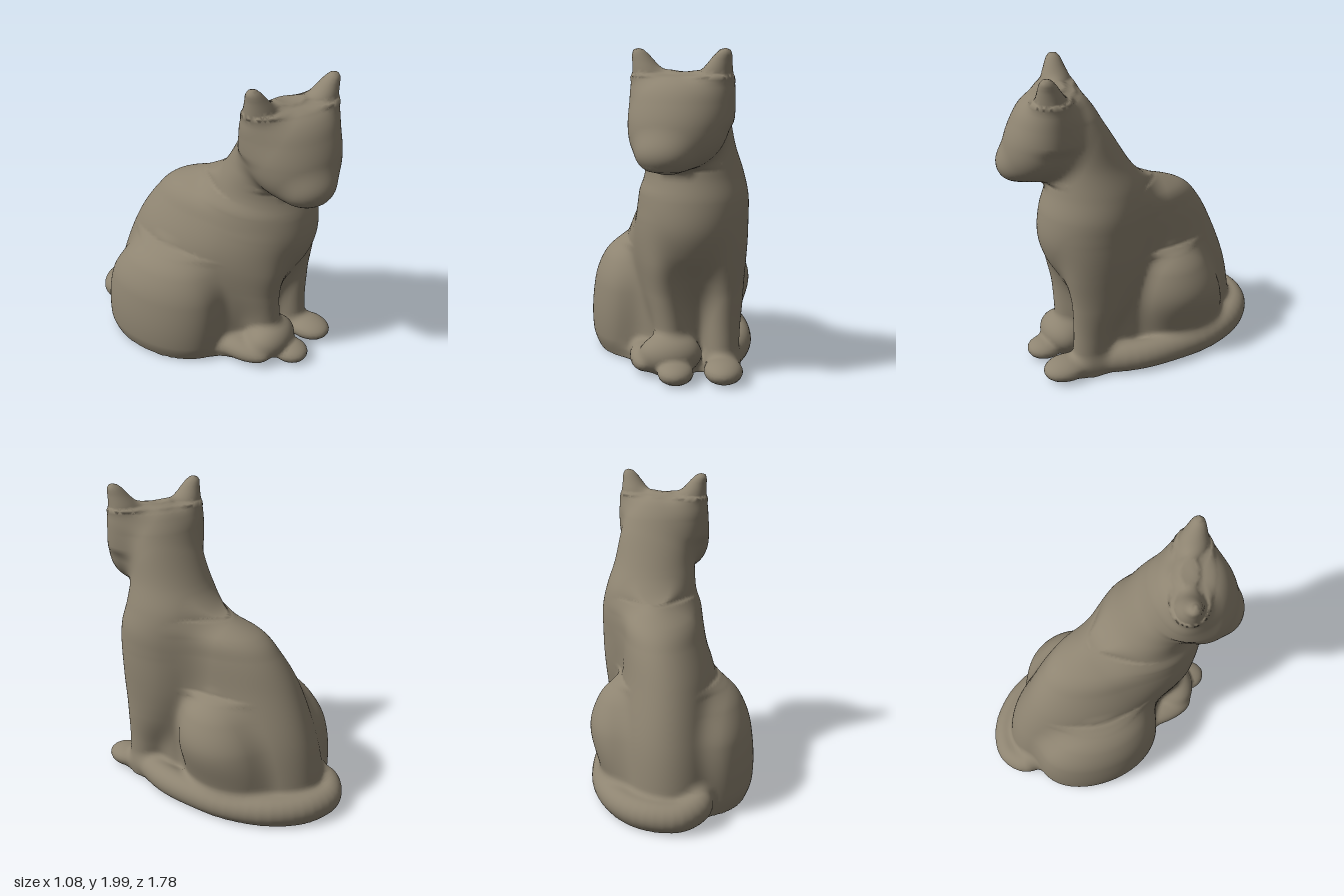
import * as THREE from 'three';

const stone = new THREE.MeshStandardMaterial({ color: 0x8e8471 });
stone.name = 'warm grey stone';

// Each part is a distance function of (x, y, z), negative inside.
const ovalDistance = (p, r) => {
  const q = Math.hypot(...p.map((v, i) => v / r[i]));
  return (q * (q - 1)) / Math.hypot(...p.map((v, i) => v / r[i] ** 2)) || -Math.min(...r);
};

const ellipsoid = (c, r) => (x, y, z) => ovalDistance([x - c[0], y - c[1], z - c[2]], r);

// Smooth stack of horizontal ovals: [y, centre x, back z, front z, half width]
function loft(...rows) {
  const last = rows.length - 1;
  const slope = (i, n) => {
    const a = rows[Math.max(i - 1, 0)];
    const b = rows[Math.min(i + 1, last)];
    return (b[n] - a[n]) / (b[0] - a[0]);
  };
  const cache = new Map();
  const section = (level) => {
    const y = Math.min(Math.max(level, rows[0][0]), rows[last][0]);
    if (cache.has(y)) return cache.get(y);
    let i = 0;
    while (i < last - 1 && y > rows[i + 1][0]) i++;
    const h = rows[i + 1][0] - rows[i][0];
    const t = (y - rows[i][0]) / h;
    const s = t * t * (3 - 2 * t);
    const [cx, z0, z1, w] = [1, 2, 3, 4].map((n) => rows[i][n] * (1 - s) + rows[i + 1][n] * s
      + h * t * (1 - t) * ((1 - t) * slope(i, n) - t * slope(i + 1, n)));
    const result = { cx, cz: (z0 + z1) / 2, r: [w, (z1 - z0) / 2] };
    cache.set(y, result);
    return result;
  };
  const flat = (x, y, z) => {
    const { cx, cz, r } = section(y);
    return ovalDistance([x - cx, z - cz], r);
  };
  return (x, y, z) => {
    const d = flat(x, y, z);
    const side = d / Math.hypot(1, (flat(x, y + 0.01, z) - d) / 0.01);
    const end = Math.max(rows[0][0] - y, y - rows[last][0]);
    return side > 0 && end > 0 ? Math.hypot(side, end) : Math.max(side, end);
  };
}

// Round tube along a smooth path
function tube(radius, ...points) {
  const path = new THREE.CatmullRomCurve3(points.map((p) => new THREE.Vector3(...p))).getPoints(32);
  return (x, y, z) => {
    let best = Infinity;
    for (let i = 0; i < path.length - 1; i++) {
      const a = path[i];
      const [ux, uy, uz] = [path[i + 1].x - a.x, path[i + 1].y - a.y, path[i + 1].z - a.z];
      const [vx, vy, vz] = [x - a.x, y - a.y, z - a.z];
      const along = (ux * vx + uy * vy + uz * vz) / (ux * ux + uy * uy + uz * uz);
      const t = Math.min(Math.max(along, 0), 1);
      best = Math.min(best, Math.hypot(vx - t * ux, vy - t * uy, vz - t * uz));
    }
    return best - radius;
  };
}

// The head is turned a little to its right
const [sin, cos] = [Math.sin(-0.45), Math.cos(-0.45)];
const turned = (part) => (x, y, z) =>
  part(cos * (x - 0.08) - sin * (z - 0.52), y, sin * (x - 0.08) + cos * (z - 0.52));

// Softness is how gently a part joins those before it
const parts = [];
const add = (name, softness, shape) => parts.push({ name, softness, shape });

// Arched back, chest rising into the neck, and the flat base
add('torso', 0.01, loft([-0.05, 0, -0.7, 0.36, 0.36], [0.08, 0, -0.74, 0.38, 0.37],
  [0.25, 0, -0.735, 0.38, 0.36], [0.5, 0.01, -0.68, 0.4, 0.34], [0.8, 0.02, -0.56, 0.46, 0.3],
  [1, 0.055, -0.44, 0.48, 0.26], [1.12, 0.08, -0.32, 0.45, 0.22], [1.22, 0.11, -0.08, 0.3, 0.1]));
add('chestAndNeck', 0.14, loft([-0.05, 0.15, 0.08, 0.4, 0.2], [0.3, 0.15, 0.08, 0.42, 0.2],
  [0.6, 0.14, 0.02, 0.56, 0.27], [0.78, 0.14, 0, 0.66, 0.315], [0.93, 0.14, -0.01, 0.7, 0.335],
  [1.1, 0.145, 0, 0.685, 0.335], [1.25, 0.145, 0.03, 0.64, 0.305], [1.4, 0.125, 0.125, 0.62, 0.275],
  [1.7, 0.09, 0.31, 0.61, 0.22], [1.83, 0.08, 0.45, 0.55, 0.06]));
add('base', 0.04, loft([-0.05, 0.05, -0.8, 0.5, 0.4], [0.06, 0.05, -0.8, 0.5, 0.4]));

// Folded hind legs
add('rightHaunch', 0.08, loft([-0.05, -0.24, -0.58, 0.2, 0.23], [0.12, -0.265, -0.62, 0.25, 0.27],
  [0.45, -0.26, -0.59, 0.25, 0.26], [0.63, -0.24, -0.48, 0.19, 0.215],
  [0.73, -0.22, -0.35, 0.09, 0.14], [0.78, -0.2, -0.22, -0.05, 0.05]));
add('leftHaunch', 0.07, loft([-0.05, 0.2, -0.5, 0.1, 0.22], [0.2, 0.24, -0.54, 0.11, 0.23],
  [0.45, 0.27, -0.49, 0.12, 0.26], [0.63, 0.26, -0.39, 0.09, 0.215],
  [0.73, 0.24, -0.29, 0.02, 0.14], [0.77, 0.22, -0.2, -0.06, 0.06]));
add('rightHindFoot', 0.04, ellipsoid([-0.16, 0.085, 0.36], [0.1, 0.08, 0.24]));

// Front legs and paws
add('leftFrontLeg', 0.1, loft([-0.05, 0.32, 0.36, 0.59, 0.1], [0.28, 0.325, 0.31, 0.57, 0.105],
  [0.5, 0.33, 0.22, 0.575, 0.12], [0.72, 0.325, 0.16, 0.59, 0.125],
  [0.95, 0.3, 0.18, 0.54, 0.11], [1.08, 0.27, 0.25, 0.48, 0.06]));
add('rightFrontLeg', 0.1, loft([-0.05, 0.02, 0.34, 0.59, 0.1], [0.28, 0.005, 0.3, 0.57, 0.105],
  [0.5, -0.025, 0.22, 0.57, 0.118], [0.72, -0.045, 0.16, 0.59, 0.12],
  [0.95, -0.02, 0.18, 0.54, 0.11], [1.08, 0.01, 0.25, 0.48, 0.06]));
add('rightAnkle', 0.04, ellipsoid([0, 0.14, 0.52], [0.19, 0.13, 0.145]));
add('leftFrontPaw', 0.05, ellipsoid([0.32, 0.07, 0.63], [0.12, 0.073, 0.152]));
add('rightFrontPaw', 0.03, ellipsoid([0.03, 0.065, 0.66], [0.11, 0.067, 0.122]));

// Tail curled round the left side
add('tail', 0.05, tube(0.092, [-0.1, 0.16, -0.6], [-0.17, 0.13, -0.69], [-0.06, 0.095, -0.785],
  [0.12, 0.09, -0.755], [0.3, 0.088, -0.6], [0.41, 0.088, -0.36], [0.445, 0.088, -0.05],
  [0.425, 0.085, 0.18], [0.33, 0.08, 0.46]));

// Head with muzzle and broad pointed ears
add('skull', 0.08, turned(loft([1.3, 0, 0.06, 0.25, 0.08], [1.34, 0, -0.04, 0.33, 0.18],
  [1.43, 0, -0.14, 0.36, 0.265], [1.56, 0, -0.19, 0.345, 0.305], [1.68, 0, -0.19, 0.3, 0.3],
  [1.78, 0, -0.15, 0.24, 0.265], [1.835, 0, -0.09, 0.16, 0.19], [1.855, 0, -0.03, 0.07, 0.08])));
add('muzzle', 0.09, turned(ellipsoid([0, 1.4, 0.285], [0.14, 0.09, 0.105])));
for (const side of [1, -1]) {
  add(side > 0 ? 'leftEar' : 'rightEar', 0.1, turned(loft(
    [1.6, side * 0.18, -0.08, 0.12, 0.11], [1.75, side * 0.19, -0.08, 0.13, 0.125],
    [1.85, side * 0.215, -0.06, 0.125, 0.1], [1.93, side * 0.25, -0.02, 0.105, 0.066],
    [1.975, side * 0.272, 0.005, 0.09, 0.046], [2, side * 0.28, 0.03, 0.07, 0.022])));
}

// Soft union of all parts, cut flat underneath
function field(x, y, z) {
  let d = 10;
  for (const { shape, softness } of parts) {
    const e = shape(x, y, z);
    const h = Math.max(softness - Math.abs(d - e), 0) / softness;
    d = Math.min(d, e) - (h * h * softness) / 4;
  }
  return Math.max(d, 0.005 - y);
}

export function createModel() {
  const cell = 0.02;
  const start = [-0.62, -0.03, -0.96];
  const size = [63, 106, 97];
  const step = [1, size[0] * size[2], size[0]];
  const value = new Float32Array(size[0] * size[1] * size[2]);
  const visit = (from, act) => {
    for (let j = from; j < size[1] - from; j++)
      for (let k = from; k < size[2] - from; k++)
        for (let i = from; i < size[0] - from; i++) act([i, j, k], i + j * step[1] + k * step[2]);
  };
  visit(0, (g, p) => { value[p] = field(...g.map((n, a) => start[a] + n * cell)); });

  // One skin point in every grid cell the surface crosses
  const position = [];
  const normal = [];
  const pointOf = new Map();
  visit(1, (g, p) => {
    const sum = [0, 0, 0];
    let count = 0;
    for (let a = 0; a < 3; a++) for (let n = 0; n < 4; n++) {
      const [b, c, u, v] = [(a + 1) % 3, (a + 2) % 3, n & 1, n >> 1];
      const v0 = value[p + u * step[b] + v * step[c]];
      const v1 = value[p + u * step[b] + v * step[c] + step[a]];
      if (v0 < 0 === v1 < 0) continue;
      sum[a] += v0 / (v0 - v1);
      sum[b] += u;
      sum[c] += v;
      count++;
    }
    if (!count) return;
    const [x, y, z] = g.map((n, a) => start[a] + (n + sum[a] / count) * cell);
    const e = 0.008;
    pointOf.set(p, position.length / 3);
    position.push(x, y, z);
    normal.push(...new THREE.Vector3(field(x + e, y, z) - field(x - e, y, z),
      field(x, y + e, z) - field(x, y - e, z), field(x, y, z + e) - field(x, y, z - e)).normalize());
  });

  // Join the points, giving every face to the part it lies on
  const faces = parts.map(() => []);
  visit(1, (g, p) => {
    for (let a = 0; a < 3; a++) {
      const inside = value[p] < 0;
      if (inside === value[p + step[a]] < 0) continue;
      const [sb, sc] = [step[(a + 1) % 3], step[(a + 2) % 3]];
      const q = [p, p - sb, p - sb - sc, p - sc].map((n) => pointOf.get(n));
      if (!inside) q.reverse();
      const distances = parts.map(({ shape }) => shape(...position.slice(q[0] * 3, q[0] * 3 + 3)));
      faces[distances.indexOf(Math.min(...distances))].push(q[0], q[1], q[2], q[0], q[2], q[3]);
    }
  });

  const cat = new THREE.Group();
  cat.name = 'sittingCat';
  parts.forEach(({ name }, n) => {
    const geometry = new THREE.BufferGeometry();
    geometry.setAttribute('position', new THREE.Float32BufferAttribute(position, 3));
    geometry.setAttribute('normal', new THREE.Float32BufferAttribute(normal, 3));
    geometry.setIndex(faces[n]);
    const mesh = new THREE.Mesh(geometry, stone);
    mesh.name = name;
    cat.add(mesh);
  });
  return cat;
}
